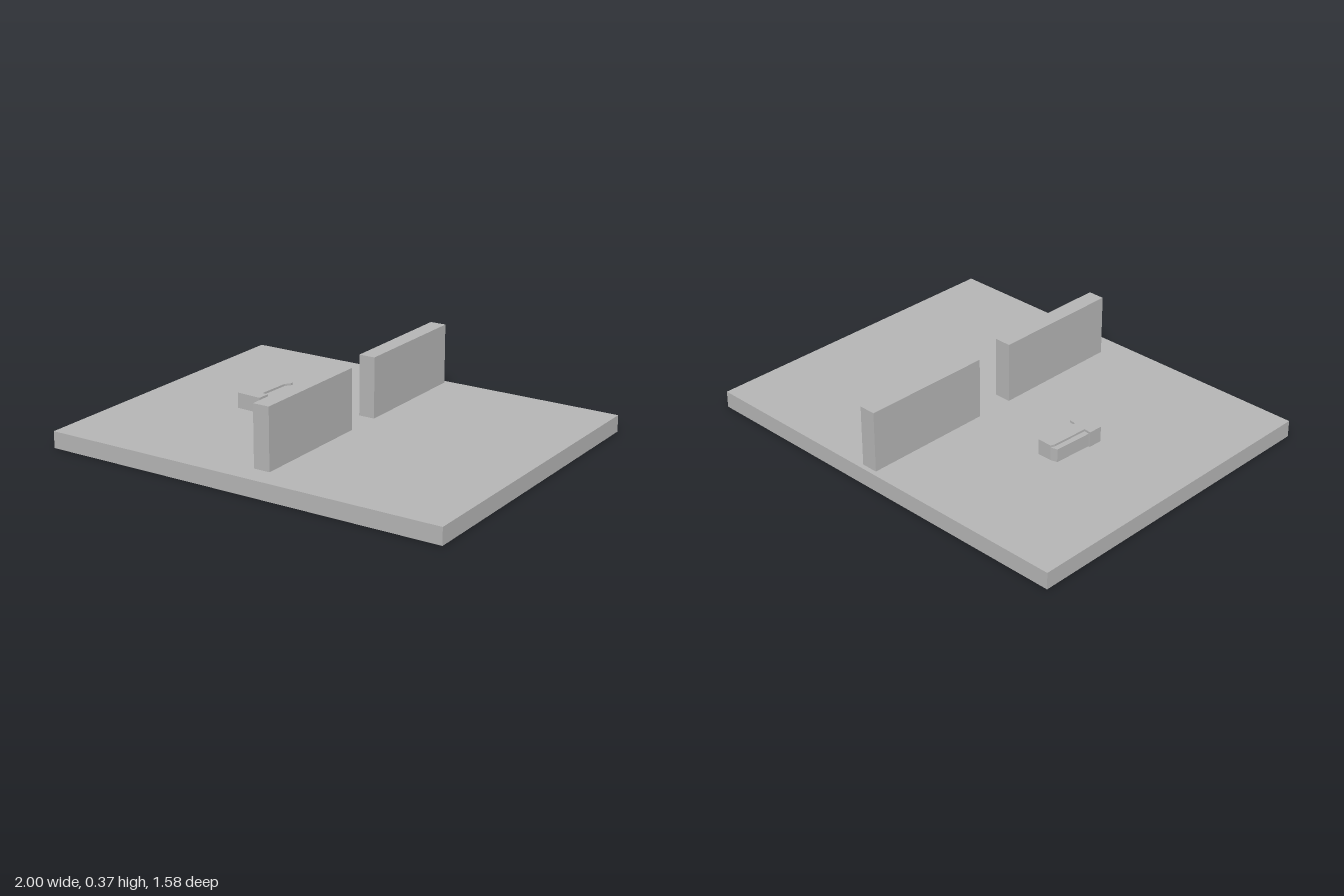
import * as THREE from 'three';

export function createModel() {
  const group = new THREE.Group();
  const grey = new THREE.MeshStandardMaterial({ color: 0xb4b4b4 });
  const base = 0.08;

  const addBox = (name, w, h, d, x, y, z) => {
    const mesh = new THREE.Mesh(new THREE.BoxGeometry(w, h, d), grey);
    mesh.name = name;
    mesh.position.set(x, y + h / 2, z);
    group.add(mesh);
  };

  // Upright prism from an [x, z] outline, standing on the slab
  const addPrism = (name, outline, height) => {
    const shape = new THREE.Shape(outline.map(([x, z]) => new THREE.Vector2(x, -z)));
    const geometry = new THREE.ExtrudeGeometry(shape, { depth: height, bevelEnabled: false });
    geometry.rotateX(-Math.PI / 2);
    const mesh = new THREE.Mesh(geometry, grey);
    mesh.name = name;
    mesh.position.y = base;
    group.add(mesh);
  };

  // Floor slab
  addBox('floorSlab', 2, base, 1.58, 0, 0, 0);

  // Two wall panels with a gap between them
  addBox('frontWall', 0.08, 0.29, 0.63, 0.057, base, 0.363);
  addBox('backWall', 0.08, 0.29, 0.63, 0.057, base, -0.452);

  // Small seat block: wide head and narrow raised body
  addPrism('blockBody', [
    [-0.506, 0.012], [-0.508, 0.08], [-0.38, 0.088], [-0.377, 0.026], [-0.408, 0.023],
    [-0.401, -0.14], [-0.38, -0.17], [-0.385, -0.184], [-0.455, -0.184],
    [-0.462, -0.165], [-0.471, 0.016]
  ], 0.074);

  // Slightly lower ledges along both sides of the body
  addPrism('leftLedge', [
    [-0.408, 0.023], [-0.377, 0.026], [-0.374, -0.165], [-0.38, -0.17], [-0.401, -0.14]
  ], 0.064);
  addPrism('rightLedge', [
    [-0.498, 0.012], [-0.471, 0.016], [-0.462, -0.165], [-0.455, -0.184], [-0.487, -0.176]
  ], 0.064);

  return group;
}
